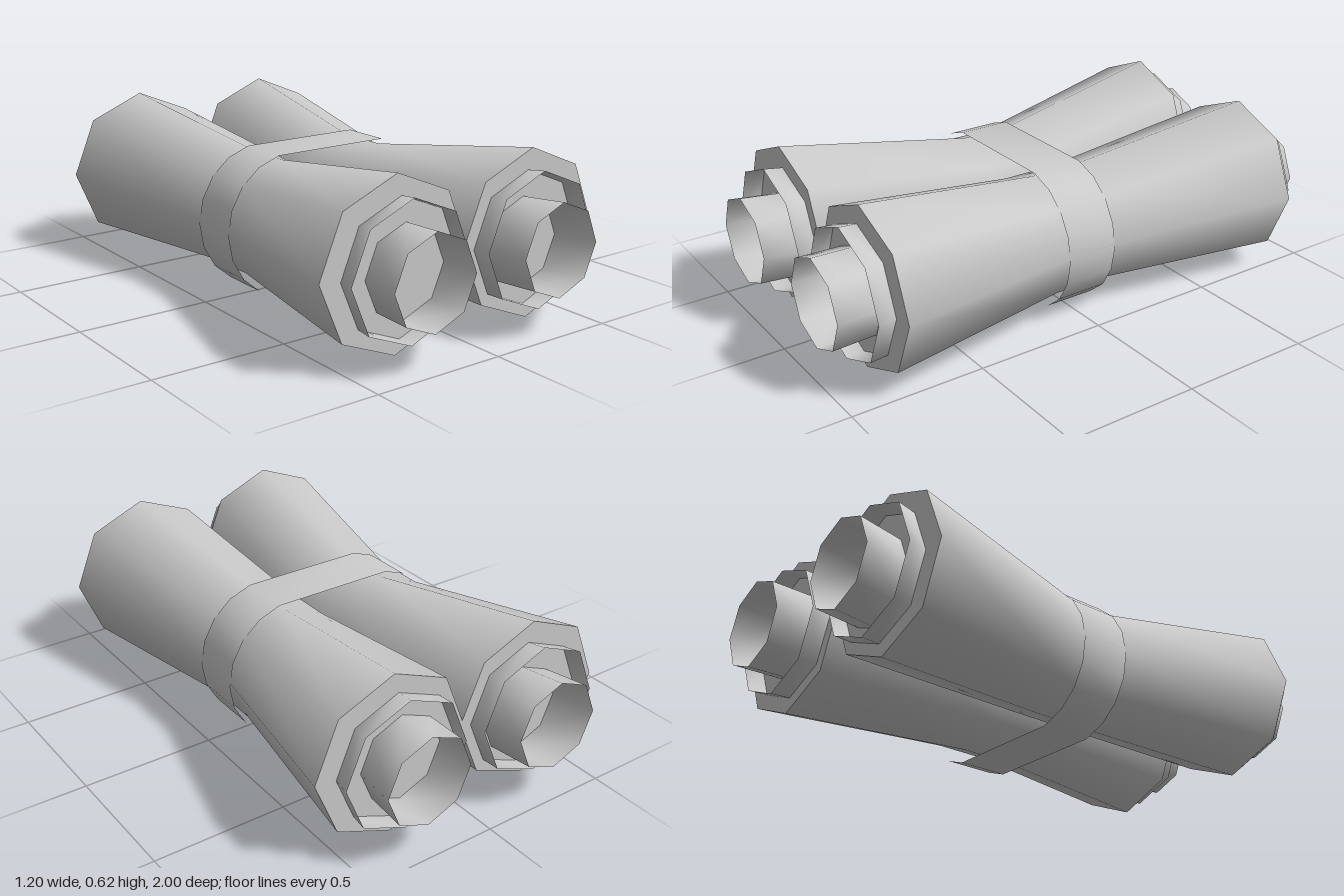
import * as THREE from 'three';
import { toCreasedNormals } from 'three/addons/utils/BufferGeometryUtils.js';

const grey = new THREE.MeshStandardMaterial({ color: 0xcccccc });
const greyThin = new THREE.MeshStandardMaterial({ color: 0xcccccc, side: THREE.DoubleSide });

// Eight-sided roll along z through stations [z, centreX, centreY, radius], z ascending
function roll(name, stations, open) {
  const n = stations.length - 1;
  const geo = new THREE.CylinderGeometry(1, 1, 1, 8, n, open).rotateX(Math.PI / 2);
  const p = geo.attributes.position;
  for (let i = 0; i < p.count; i++) {
    const [z, cx, cy, r] = stations[Math.round((p.getZ(i) + 0.5) * n)];
    p.setXYZ(i, cx + p.getX(i) * r, cy + p.getY(i) * r, z);
  }
  const mesh = new THREE.Mesh(toCreasedNormals(geo, 1.0), open ? greyThin : grey);
  mesh.name = name;
  return mesh;
}

// One scroll: pinched body with two open inner rolls showing at each end
function makeScroll(side) {
  const scroll = new THREE.Group();
  const station = (z, cx, cy, r) => [z, side * cx, cy, r];
  scroll.add(roll('scrollBody', [
    station(-0.83, 0.295, 0.322, 0.303),
    station(-0.1, 0.222, 0.28, 0.233),
    station(0.1, 0.222, 0.28, 0.233),
    station(0.83, 0.295, 0.322, 0.303),
  ], false));
  for (const end of [1, -1]) {
    const layer = (name, inner, outer) => {
      const s = [inner, outer].map(([z, ...rest]) => station(z * end, ...rest));
      scroll.add(roll(name, end > 0 ? s : s.reverse(), true));
    };
    layer('middleRoll', [0.83, 0.277, 0.311, 0.239], [0.9, 0.284, 0.315, 0.244]);
    layer('innerRoll', [0.83, 0.258, 0.298, 0.163], [1, 0.275, 0.3075, 0.167]);
  }
  return scroll;
}

// Thin band with rounded ends: a ring pulled apart sideways
function makeBand() {
  const r = 0.265, steps = 18, half = Math.PI / steps;
  const geo = new THREE.CylinderGeometry(r, r, 0.2, steps, 1, true, half).rotateX(Math.PI / 2);
  const p = geo.attributes.position;
  for (let i = 0; i < p.count; i++) {
    const x = p.getX(i);
    p.setXY(i, x + Math.sign(x) * 0.192, r + p.getY(i) / Math.cos(half));
  }
  const band = new THREE.Mesh(toCreasedNormals(geo, 1.0), grey);
  band.name = 'band';
  return band;
}

export function createModel() {
  const model = new THREE.Group();
  model.name = 'tiedScrolls';
  for (const side of [1, -1]) {
    const scroll = makeScroll(side);
    scroll.name = side > 0 ? 'leftScroll' : 'rightScroll';
    model.add(scroll);
  }
  model.add(makeBand());
  return model;
}
